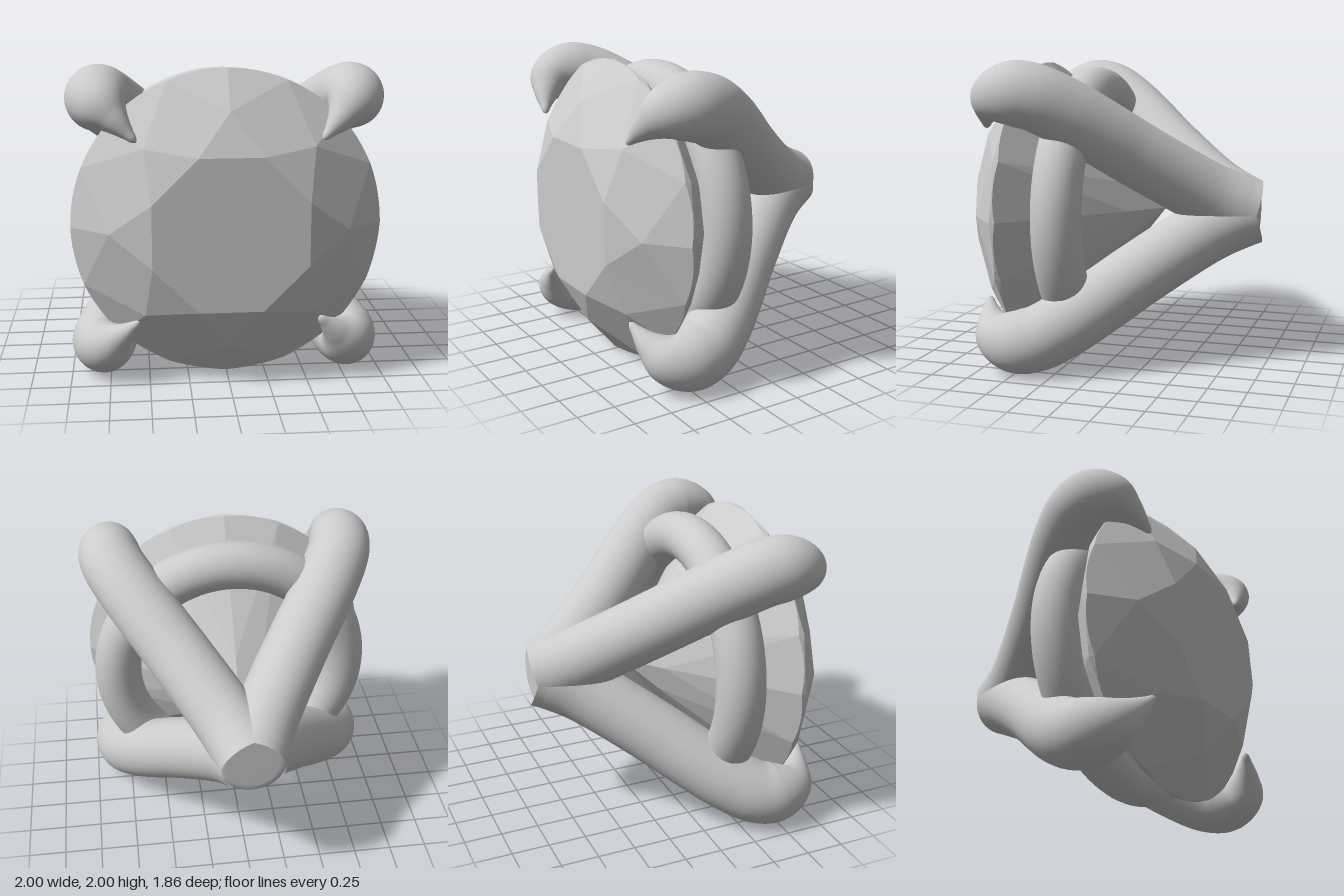
import * as THREE from 'three';

const material = new THREE.MeshStandardMaterial({ color: 0xcccccc });
const flatMaterial = new THREE.MeshStandardMaterial({ color: 0xcccccc, flatShading: true });

function addMesh(parent, name, geometry, mat = material) {
  const mesh = new THREE.Mesh(geometry, mat);
  mesh.name = name;
  parent.add(mesh);
  return mesh;
}

// Round brilliant cut along the z axis, table towards +z
function gemGeometry() {
  const positions = [];
  const step = Math.PI / 8;
  const point = (r, i, z) => new THREE.Vector3(r * Math.cos(i * step), r * Math.sin(i * step), z);
  const face = (...p) => {
    for (let i = 1; i < p.length - 1; i++) {
      for (const v of [p[0], p[i], p[i + 1]]) positions.push(v.x, v.y, v.z);
    }
  };
  const R = 0.98, TOP = 0.59, BOTTOM = 0.55;
  const tableCentre = new THREE.Vector3(0, 0, 0.9);
  const culet = new THREE.Vector3(0, 0, -0.28);
  const table = i => point(0.52, i, 0.9);
  const star = i => point(0.74, i, 0.79);
  const lower = i => point(0.25, i, -0.084);

  // Table, star facets, crown kites and pavilion mains
  for (let i = 0; i < 16; i += 2) {
    face(tableCentre, table(i - 1), table(i + 1));
    face(table(i - 1), star(i), table(i + 1));
    face(table(i + 1), star(i), point(R, i + 1, TOP), star(i + 2));
    face(culet, lower(i + 2), point(R, i + 1, BOTTOM), lower(i));
  }

  // Half facets run out to a round girdle, which gives its scalloped edges
  const onPlane = (plane, i) => {
    const p = point(R, i, 0);
    p.z = -(plane.normal.x * p.x + plane.normal.y * p.y + plane.constant) / plane.normal.z;
    return p;
  };
  const parts = 6;
  for (let i = 0; i < 16; i++) {
    const s = i % 2 ? i + 1 : i;
    const up = new THREE.Plane().setFromCoplanarPoints(star(s), point(R, i, TOP), point(R, i + 1, TOP));
    const down = new THREE.Plane().setFromCoplanarPoints(lower(s), point(R, i, BOTTOM), point(R, i + 1, BOTTOM));
    for (let j = 0; j < parts; j++) {
      const a = i + j / parts, b = i + (j + 1) / parts;
      const ua = onPlane(up, a), ub = onPlane(up, b);
      const da = onPlane(down, a), db = onPlane(down, b);
      face(star(s), ua, ub);
      face(da, db, ub, ua);
      face(lower(s), db, da);
    }
  }
  const geometry = new THREE.BufferGeometry();
  geometry.setAttribute('position', new THREE.Float32BufferAttribute(positions, 3));
  geometry.computeVertexNormals();
  return geometry;
}

// Claw prong in the x-z plane: each entry is offset along x, z, tube radius
function prongGeometry() {
  const profile = [
    [0, -0.87, 0.215], [0.03, -0.78, 0.22], [0.12, -0.6, 0.215], [0.39, -0.2, 0.213],
    [0.54, 0, 0.213], [0.68, 0.2, 0.213], [0.77, 0.37, 0.21], [0.79, 0.5, 0.205],
    [0.76, 0.63, 0.165], [0.69, 0.71, 0.095], [0.61, 0.76, 0.04], [0.575, 0.778, 0.02], [0.562, 0.785, 0],
  ];
  const curve = new THREE.CatmullRomCurve3(
    profile.map(([x, z, r]) => new THREE.Vector3(x * Math.SQRT2, z, r)));
  const rings = 96, sides = 40;
  const positions = [], index = [];
  for (let i = 0; i <= rings; i++) {
    const c = curve.getPoint(i / rings);
    const t = curve.getTangent(i / rings);
    const length = Math.hypot(t.x, t.y);
    const nx = t.y / length, nz = -t.x / length;
    const r = Math.max(c.z, 0.0005);
    for (let j = 0; j < sides; j++) {
      const a = (j / sides) * Math.PI * 2;
      positions.push(c.x + nx * r * Math.cos(a), r * Math.sin(a), c.y + nz * r * Math.cos(a));
      if (i < rings) {
        const k = (j + 1) % sides;
        const p = i * sides + j, q = i * sides + k;
        index.push(p, q, p + sides, q, q + sides, p + sides);
      }
    }
  }
  const geometry = new THREE.BufferGeometry();
  geometry.setAttribute('position', new THREE.Float32BufferAttribute(positions, 3));
  geometry.setIndex(index);
  geometry.computeVertexNormals();
  return geometry;
}

export function createModel() {
  const model = new THREE.Group();
  model.name = 'gemSetting';
  const body = new THREE.Group();
  body.name = 'settingAndGem';
  body.position.y = 1;
  model.add(body);

  addMesh(body, 'gem', gemGeometry(), flatMaterial);

  // Support ring behind the girdle
  const ring = addMesh(body, 'supportRing', new THREE.TorusGeometry(0.79, 0.16, 32, 96));
  ring.position.z = 0.22;

  // Four claws on the diagonals
  const prong = prongGeometry();
  for (let i = 0; i < 4; i++) {
    addMesh(body, 'prong' + (i + 1), prong).rotation.z = Math.PI / 4 + i * Math.PI / 2;
  }

  // Flat-ended hub where the claws meet
  const hubProfile = [[0, -0.9], [0.17, -0.9], [0.195, -0.899], [0.215, -0.89], [0.226, -0.87],
    [0.232, -0.83], [0.24, -0.77], [0.25, -0.7], [0.2, -0.52], [0, -0.42]];
  const hub = addMesh(body, 'backHub',
    new THREE.LatheGeometry(hubProfile.map(([r, z]) => new THREE.Vector2(r, z)), 64));
  hub.rotation.x = Math.PI / 2;

  return model;
}
